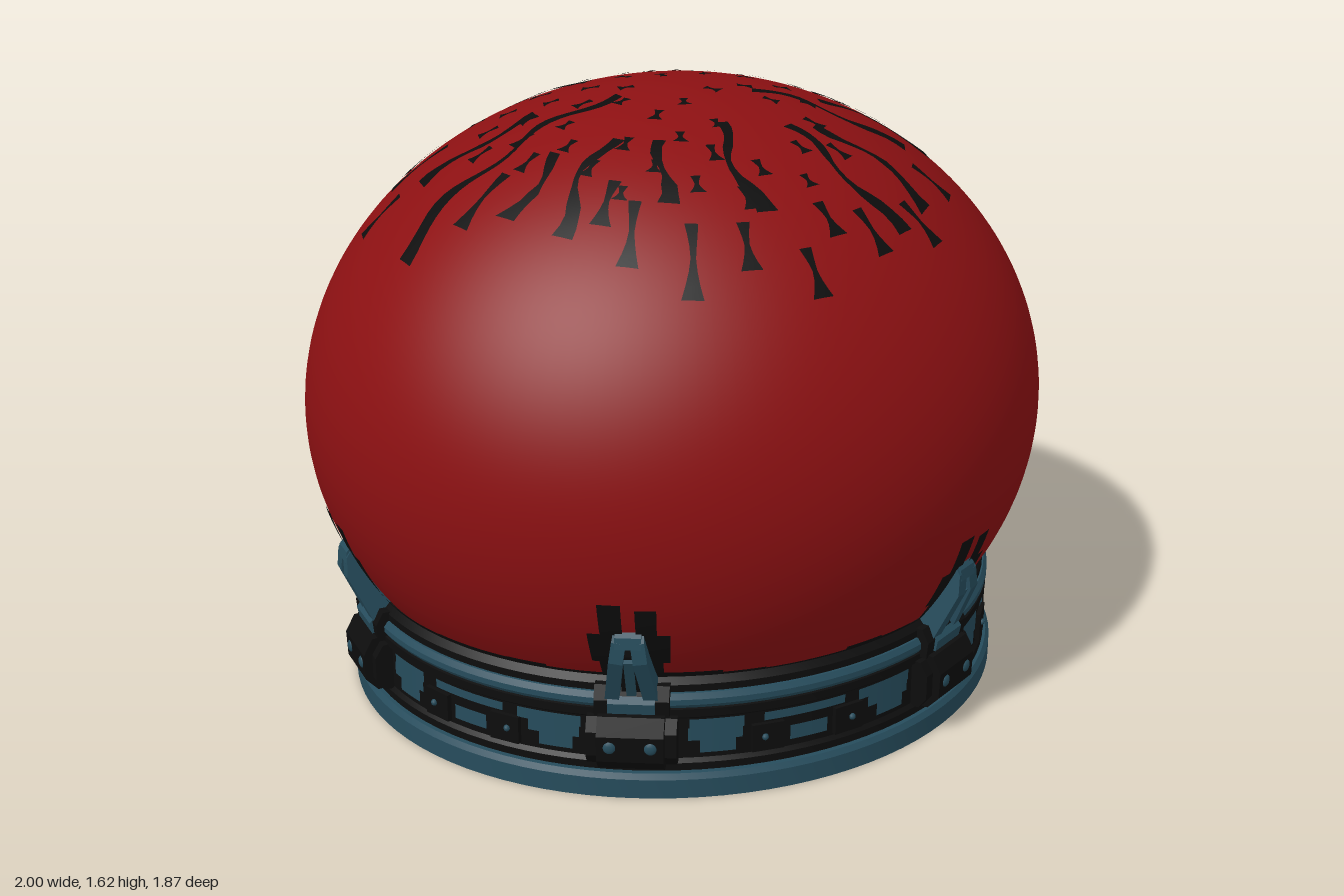
import * as THREE from 'three';
import { mergeGeometries, toCreasedNormals } from 'three/addons/utils/BufferGeometryUtils.js';

const mat = (name, color, side = THREE.FrontSide) => {
  const m = new THREE.MeshStandardMaterial({ color, side });
  m.name = name;
  return m;
};
const red = mat('deep red', 0x8c1012);
const teal = mat('dark teal', 0x264c5c, THREE.DoubleSide);
const black = mat('soot black', 0x0d0d0d, THREE.DoubleSide);

const CY = 0.77, RY = 0.85, DEPTH = 0.935; // dome centre, height radius, z squash
let seed = 7;
const rand = () => (seed = (seed * 16807) % 2147483647) / 2147483647;

function add(parent, name, geometry, material) {
  const mesh = new THREE.Mesh(geometry, material);
  mesh.name = name;
  parent.add(mesh);
  return mesh;
}

// Revolved profile with crisp edges
function ring(points) {
  const g = new THREE.LatheGeometry(points.map(([r, y]) => new THREE.Vector2(r, y)), 96);
  return toCreasedNormals(g, 0.5);
}

// Piece of the dome skin between two angles (0 = front) and two heights
function skin(a0, a1, y0, y1, lift = 1.004) {
  const t0 = Math.acos((y1 - CY) / RY), t1 = Math.acos((y0 - CY) / RY);
  const n = Math.max(4, Math.ceil((a1 - a0) * 20));
  const g = new THREE.SphereGeometry(1, n, 6, Math.PI / 2 + a0, a1 - a0, t0, t1 - t0);
  return g.scale(lift, RY * lift, lift).translate(0, CY, 0);
}

// Curved plate on the band
function plate(radius, a0, a1, y0, y1) {
  return new THREE.CylinderGeometry(radius, radius, y1 - y0, 10, 1, true, a0, a1 - a0).translate(0, (y0 + y1) / 2, 0);
}

// Side profile in (outward, up) given a width across
function slab(points, width) {
  const shape = new THREE.Shape(points.map(([z, y]) => new THREE.Vector2(z, y)));
  const g = new THREE.ExtrudeGeometry(shape, { depth: width, bevelEnabled: false });
  return g.translate(0, 0, -width / 2).rotateY(-Math.PI / 2);
}

// Hourglass streak lying on the dome, running radially with a slight wobble
function streak(angle, rOut, length, width) {
  const n = Math.max(6, Math.ceil(length * 40)), pos = [], idx = [];
  const phase = rand() * 6, wobble = length > 0.18 ? 0.022 : 0.004;
  for (let i = 0; i <= n; i++) {
    const t = i / n, r = rOut - length * t;
    const pinch = 0.3 + 0.7 * Math.pow(Math.abs(2 * t - 1), 1.5);
    const bump = length > 0.18 ? 0.25 * Math.max(0, Math.sin(t * 14 + phase)) : 0;
    const half = (width / 2) * (pinch + bump) * (1 - 0.4 * t);
    const off = wobble * Math.sin(t * length * 22 + phase);
    for (const s of [-1, 0, 1]) {
      const w = off + s * half;
      const x = Math.cos(angle) * r - Math.sin(angle) * w;
      const z = (Math.sin(angle) * r + Math.cos(angle) * w) / DEPTH;
      const y = RY * Math.sqrt(1 - x * x - z * z);
      pos.push(x * 1.004, CY + y * 1.004, z * 1.004);
    }
    if (i < n) for (const k of [0, 1]) {
      const a = i * 3 + k;
      idx.push(a, a + 3, a + 1, a + 1, a + 3, a + 4);
    }
  }
  const g = new THREE.BufferGeometry();
  g.setAttribute('position', new THREE.Float32BufferAttribute(pos, 3));
  g.setIndex(idx);
  g.computeVertexNormals();
  if (g.attributes.normal.getY(0) < 0) {
    g.setIndex(idx.reverse());
    g.computeVertexNormals();
  }
  return g;
}

// Streaks as angle in degrees, outer radius, length
const STREAKS = [
  [-18, .79, .12], [-7, .73, .1], [1, .6, .2], [13, .68, .3], [27, .6, .4], [35, .72, .1],
  [47, .69, .3], [54, .75, .1], [62, .7, .35], [69, .72, .1], [78, .66, .08], [87, .76, .09],
  [94, .58, .3], [99, .7, .1], [111, .75, .15], [118, .55, .2], [124, .7, .15], [131, .62, .12],
  [140, .66, .3], [153, .65, .2], [163, .7, .15], [172, .8, .63], [187, .67, .3], [193, .82, .1],
  [203, .74, .15], [217, .74, .12], [231, .79, .1], [236, .66, .4], [245, .72, .09], [252, .7, .1],
  [262, .75, .08], [273, .77, .09], [284, .7, .09], [300, .66, .09], [313, .72, .1], [324, .62, .1],
  [331, .7, .1],
];

function domeMarkings() {
  const parts = STREAKS.map(([a, r, l]) => streak(THREE.MathUtils.degToRad(a), r, l, 0.055));
  // Small marks fill the crown in a spiral
  for (let i = 2; i < 75; i++) {
    const r = 0.064 * Math.sqrt(i), a = i * 2.39996;
    if (rand() < 0.9) parts.push(streak(a, r + 0.02, 0.035 + 0.06 * rand() * r, 0.042));
  }
  return mergeGeometries(parts);
}

function clamp() {
  const g = new THREE.Group();
  g.name = 'clamp';
  // Black backing on the dome, with two horns
  add(g, 'clampBacking', mergeGeometries([
    skin(-0.11, 0.11, 0.38, 0.48), skin(-0.09, 0.09, 0.3, 0.4),
    skin(-0.075, -0.015, 0.46, 0.575), skin(0.02, 0.075, 0.46, 0.56),
  ]), black);
  // Bolted block on the band
  add(g, 'clampBlock', slab([[.85, .085], [.9, .085], [.932, .12], [.935, .19], [.91, .235], [.85, .24]], 0.17), black);
  add(g, 'clampBlockWing', slab([[.84, .095], [.89, .095], [.912, .125], [.912, .19], [.89, .225], [.84, .23]], 0.23), black);
  add(g, 'clampCollar', slab([[.83, .23], [.895, .23], [.9, .275], [.88, .31], [.83, .31]], 0.19), black);
  add(g, 'clampFoot', slab([[.84, .24], [.902, .24], [.908, .27], [.89, .29], [.84, .29]], 0.12), teal);
  for (const s of [-1, 1]) {
    const rivet = add(g, 'clampRivet', new THREE.SphereGeometry(0.017, 12, 8), teal);
    rivet.position.set(s * 0.052, 0.16, 0.932);
    rivet.scale.z = 0.5;
    // Converging legs of the arm
    const leg = add(g, 'clampLeg', slab([[.82, .25], [.885, .25], [.957, .41], [.954, .465], [.94, .485], [.9, .48]], 0.036), teal);
    leg.rotation.z = s * 0.14;
    leg.position.x = s * 0.088;
  }
  add(g, 'clampSlot', slab([[.82, .26], [.872, .26], [.944, .42], [.942, .46], [.9, .46]], 0.05), black);
  add(g, 'clampTongue', slab([[.83, .27], [.885, .27], [.95, .405], [.92, .42]], 0.024), teal);
  add(g, 'clampCap', slab([[.92, .445], [.956, .445], [.952, .475], [.94, .49], [.91, .485]], 0.066), teal);
  return g;
}

// Panels on the band between two clamps
function bandPanels() {
  const g = new THREE.Group();
  g.name = 'bandPanels';
  const strips = [plate(0.876, -0.36, -0.2, 0.18, 0.21), plate(0.876, -0.14, 0.12, 0.187, 0.21),
    plate(0.876, 0.17, 0.37, 0.18, 0.21)];
  for (const s of [-1, 1]) {
    const c = s * 0.285;
    strips.push(plate(0.876, c - 0.08, c + 0.08, 0.15, 0.185));
    strips.push(plate(0.876, c - 0.045, c + 0.06, 0.115, 0.15));
    const rivets = add(g, 'panelRivet', new THREE.SphereGeometry(0.009, 10, 6), teal);
    rivets.position.set(Math.sin(s * 0.14) * 0.885, 0.145, Math.cos(s * 0.14) * 0.885);
    const pad = add(g, 'panelPad', new THREE.BoxGeometry(0.085, 0.075, 0.02), black);
    pad.position.set(Math.sin(s * 0.13) * 0.874, 0.143, Math.cos(s * 0.13) * 0.874);
    pad.rotation.y = s * 0.13;
  }
  strips.push(plate(0.876, -0.06, 0.06, 0.12, 0.16));
  add(g, 'bandStrips', mergeGeometries(strips), teal);
  return g;
}

export function createModel() {
  const model = new THREE.Group();
  model.name = 'domeOnBase';
  const body = new THREE.Group();
  body.name = 'body';
  body.scale.z = DEPTH;
  model.add(body);

  // Dome and its markings
  const dome = new THREE.SphereGeometry(1, 128, 80, 0, Math.PI * 2, 0, Math.acos((0.2 - CY) / RY));
  add(body, 'dome', dome.scale(1, RY, 1).translate(0, CY, 0), red);
  add(body, 'domeMarkings', domeMarkings(), black);

  // Base disc, band, rail and lip
  add(body, 'base', ring([[0, 0], [.9, 0], [.9, .052], [.89, .066], [.8, .066]]), teal);
  add(body, 'band', ring([[.85, .06], [.882, .07], [.882, .09], [.872, .1], [.872, .212], [.882, .22], [.882, .242], [.85, .25]]), black);
  add(body, 'rail', ring([[.84, .242], [.876, .244], [.884, .255], [.884, .27], [.874, .284], [.84, .286]]), teal);
  add(body, 'lip', ring([[.84, .284], [.87, .286], [.87, .305], [.853, .322], [.82, .324]]), black);

  // Uneven dark edge where the dome meets the lip
  const edge = [];
  for (let i = 0; i < 48; i++) {
    const a = (i / 48) * Math.PI * 2;
    edge.push(skin(a, a + 0.131, 0.3, 0.327 + 0.014 * rand()));
  }
  add(body, 'domeEdge', mergeGeometries(edge), black);

  // Six clamps with panels between them
  for (let i = 0; i < 6; i++) {
    const c = clamp(), p = bandPanels();
    c.rotation.y = ((i + 0.5) * Math.PI) / 3;
    p.rotation.y = (i * Math.PI) / 3;
    body.add(c, p);
  }

  // Knob at the back
  add(body, 'backKnob', slab([[-.86, .055], [-.945, .055], [-.967, .065], [-.967, .115], [-.9, .15], [-.86, .15]], 0.09), black);
  const dial = add(body, 'backKnobDial', new THREE.CylinderGeometry(0.05, 0.06, 0.07, 20), black);
  dial.rotation.x = -Math.PI / 2;
  dial.position.set(0, 0.105, -0.91);
  return model;
}
